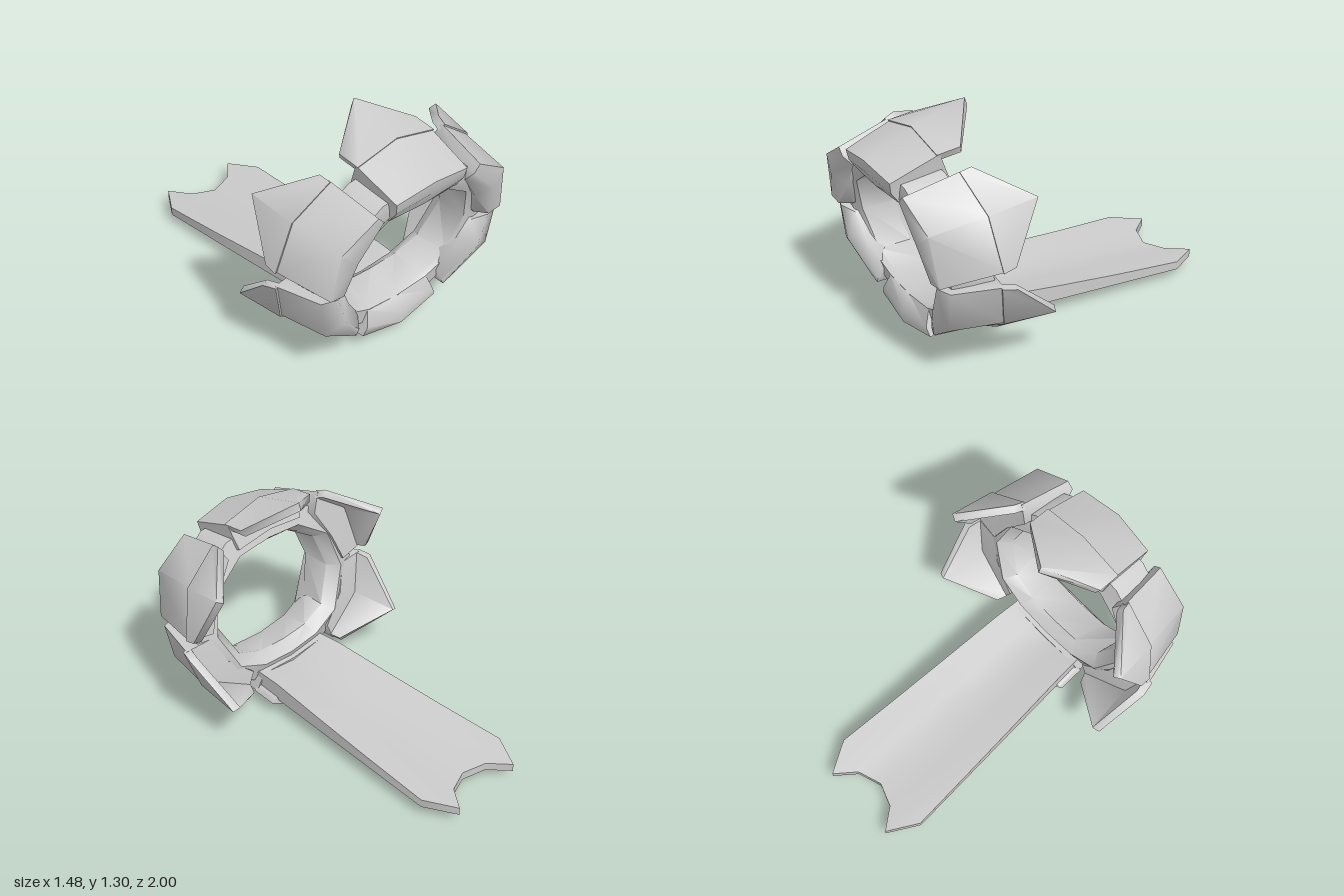
import * as THREE from 'three';
import { toCreasedNormals } from 'three/addons/utils/BufferGeometryUtils.js';

const material = new THREE.MeshStandardMaterial({ color: 0xcccccc });

// Skin a row of closed cross-sections; either loop back to the first or cap both ends
function loft(name, sections, loop, crease) {
  const n = sections[0].length, m = sections.length;
  const points = sections.flat(), faces = [];
  for (let i = 0; i < (loop ? m : m - 1); i++) {
    const a = i * n, b = ((i + 1) % m) * n;
    for (let j = 0; j < n; j++) {
      const k = (j + 1) % n;
      faces.push([a + j, b + j, b + k], [a + j, b + k, a + k]);
    }
  }
  if (!loop) {
    [0, m - 1].forEach((s, end) => {
      const c = points.length;
      points.push([0, 1, 2].map(d => sections[s].reduce((t, p) => t + p[d] / n, 0)));
      for (let j = 0; j < n; j++) {
        const p = s * n + j, q = s * n + (j + 1) % n;
        faces.push(end ? [c, q, p] : [c, p, q]);
      }
    });
  }
  // Turn the faces outward if the enclosed volume comes out negative
  const v = points.map(p => new THREE.Vector3(...p));
  const volume = faces.reduce((t, [a, b, c]) => t + v[a].dot(v[b].clone().cross(v[c])), 0);
  if (volume < 0) faces.forEach(f => f.reverse());
  const geometry = new THREE.BufferGeometry();
  geometry.setAttribute('position', new THREE.Float32BufferAttribute(points.flat(), 3));
  geometry.setIndex(faces.flat());
  const mesh = new THREE.Mesh(toCreasedNormals(geometry, crease), material);
  mesh.name = name;
  return mesh;
}

const flip = p => [-p[0], p[1], p[2]];

// Armour plate: rounded body plus a thin pointed flap sweeping back.
// Each column runs inner edge, lip, front shoulder, rear shoulder, rear underside, flap tip.
function plate(name, columns) {
  const group = new THREE.Group();
  group.name = name;
  group.add(loft(name + 'Body', columns.map(c => c.slice(0, 5)), false, 1.3));
  const flap = columns.map(c => {
    const [shoulder, tip] = [c[3], c[5]];
    const inward = p => {
      const d = new THREE.Vector2(p[0], p[1] - 0.62).setLength(0.045);
      return [p[0] - d.x, p[1] - d.y, p[2] - 0.015];
    };
    const base = [shoulder[0] * 1.015, shoulder[1], shoulder[2] + 0.02];
    return [base, tip, inward(tip), inward(base)];
  });
  group.add(loft(name + 'Flap', flap, false, 1.3));
  return group;
}

const upper = [
  [[0.31, 0.93, 0.92], [0.32, 0.99, 0.97], [0.36, 1.03, 0.97], [0.40, 1.11, 0.65], [0.34, 1.00, 0.62], [0.42, 1.13, 0.61]],
  [[0.42, 0.77, 0.90], [0.49, 0.82, 0.97], [0.58, 0.90, 0.95], [0.62, 0.95, 0.62], [0.46, 0.80, 0.60], [0.66, 1.00, 0.37]],
  [[0.47, 0.62, 0.86], [0.53, 0.61, 0.92], [0.62, 0.62, 0.92], [0.695, 0.65, 0.58], [0.53, 0.62, 0.57], [0.71, 0.67, 0.53]],
];
const lower = [
  [[0.47, 0.56, 0.85], [0.55, 0.585, 0.90], [0.64, 0.585, 0.87], [0.71, 0.575, 0.60], [0.53, 0.585, 0.58], [0.74, 0.56, 0.54]],
  [[0.41, 0.44, 0.83], [0.49, 0.40, 0.90], [0.60, 0.35, 0.86], [0.64, 0.32, 0.55], [0.47, 0.41, 0.54], [0.68, 0.31, 0.27]],
  [[0.29, 0.28, 0.77], [0.31, 0.20, 0.81], [0.33, 0.165, 0.81], [0.36, 0.145, 0.50], [0.31, 0.26, 0.50], [0.39, 0.13, 0.46]],
];
const topEnd = [[0.24, 0.93, 0.92], [0.24, 1.00, 0.97], [0.25, 1.06, 0.98], [0.265, 1.16, 0.70], [0.24, 1.01, 0.64], [0.27, 1.175, 0.585]];
const topMid = [[0, 0.94, 0.94], [0, 1.03, 0.99], [0, 1.10, 1.00], [0, 1.22, 0.70], [0, 1.04, 0.64], [0, 1.31, 0.40]];
const bottomEnd = [[0.22, 0.26, 0.775], [0.25, 0.17, 0.81], [0.27, 0.12, 0.80], [0.29, 0.10, 0.50], [0.25, 0.22, 0.48], [0.30, 0.09, 0.36]];
const bottomMid = [[0, 0.24, 0.775], [0, 0.14, 0.82], [0, 0.08, 0.82], [0, 0.03, 0.51], [0, 0.20, 0.48], [0, 0.005, 0.20]];

// Continuous inner ring, leaning forward at the top and flaring open at the bottom front
function collarRing() {
  const half = [[0, 0.92], [0.2, 0.91], [0.39, 0.79], [0.445, 0.585], [0.34, 0.37], [0.18, 0.31], [0, 0.3]];
  const rim = [...half, ...half.slice(1, -1).reverse().map(flip)];
  return loft('collarRing', rim.map(([x, y]) => {
    const out = new THREE.Vector2(x, y - 0.6).normalize();
    const flare = Math.max(0, 0.6 - y) * 0.16;
    const profile = [[0, -0.09], [flare, 0.09], [0.06, 0.12], [0.15, 0.11], [0.18, -0.12], [0.06, -0.16]];
    return profile.map(([r, dz]) => [x + out.x * r, y + out.y * r, 0.58 + 0.25 * y + dz]);
  }), true, 0.9);
}

// Long shallow trough reaching back, with a notched two-point end
function backPanel() {
  const ends = [[-1, -0.82], [-0.69, -1], [-0.41, -0.88], [0, -0.83], [0.41, -0.88], [0.69, -1], [1, -0.82]];
  const topY = z => 0.108 + 0.117 * Math.pow((z + 1) / 1.35, 1.3);
  const bottomY = z => 0.06 + 0.038 * (z + 1);
  return loft('backPanel', ends.map(([u, end]) => {
    const stations = [0.55, 0.35, 0, -0.4, end];
    const dip = z => (0.025 + 0.012 * (z + 1)) * (1 - Math.abs(u));
    const at = (z, y) => [u * (0.26 + 0.08 * Math.min(1, (0.5 - z) / 1.32)), y - dip(z), z];
    return [
      ...stations.map(z => at(z, topY(Math.min(z, 0.35)))),
      ...stations.reverse().map(z => at(z, bottomY(z))),
    ];
  }), false, 1.3);
}

export function createModel() {
  const model = new THREE.Group();
  model.name = 'armouredCollar';
  model.add(collarRing(), backPanel());
  model.add(plate('topPlate', [topEnd.map(flip), topMid, topEnd]));
  model.add(plate('bottomPlate', [bottomEnd.map(flip), bottomMid, bottomEnd]));
  // Side plates, mirrored
  for (const [side, place] of [['left', p => p], ['right', flip]]) {
    model.add(plate(side + 'UpperPlate', upper.map(c => c.map(place))));
    model.add(plate(side + 'LowerPlate', lower.map(c => c.map(place))));
  }
  return model;
}
